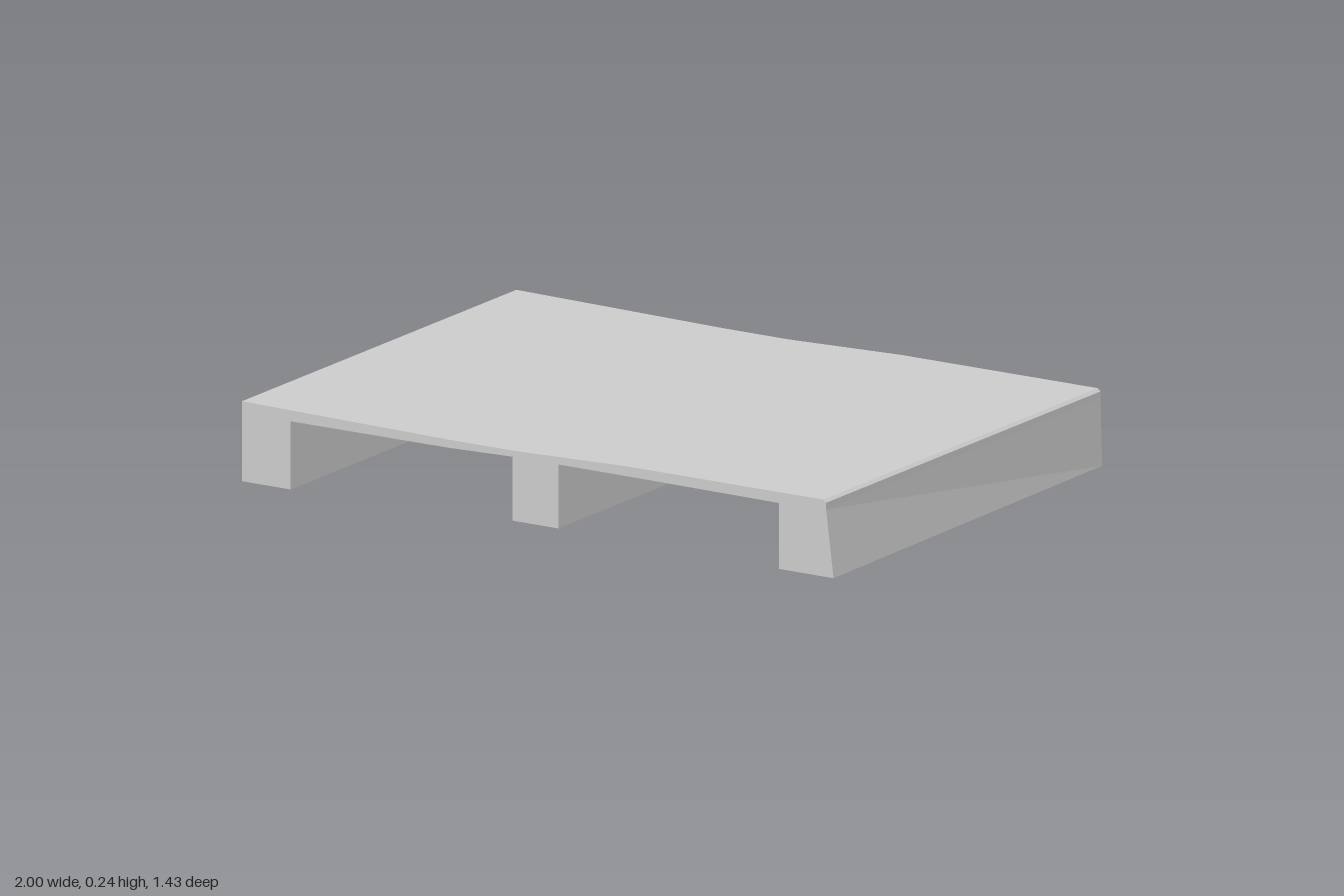
import * as THREE from 'three';

const material = new THREE.MeshStandardMaterial({ color: 0xcccccc, flatShading: true });
const HALF = 0.715; // half of the depth along z

function rectangle(PathType, x0, x1, y0, y1) {
  const p = new PathType();
  p.moveTo(x0, y0);
  p.lineTo(x1, y0);
  p.lineTo(x1, y1);
  p.lineTo(x0, y1);
  p.closePath();
  return p;
}

// Hollow runner, open below, with solid blocks at both ends and the middle
function makeRunner({ name, x0, x1, bottom, top, flare = 0 }) {
  const wall = 0.02, endBlock = 0.1, midBlock = 0.05;
  const plan = rectangle(THREE.Shape, x0, x1, -HALF, HALF);
  plan.holes.push(
    rectangle(THREE.Path, x0 + wall, x1 - wall, -HALF + endBlock, -midBlock),
    rectangle(THREE.Path, x0 + wall, x1 - wall, midBlock, HALF - endBlock)
  );
  const height = top - bottom;
  const geometry = new THREE.ExtrudeGeometry(plan, { depth: height, bevelEnabled: false });
  geometry.rotateX(-Math.PI / 2);

  // Lean the outer face outwards at the foot, more so towards the front
  const pos = geometry.attributes.position;
  for (let i = 0; i < pos.count; i++) {
    if (pos.getX(i) < x1 - 0.001) continue;
    const low = 1 - pos.getY(i) / height;
    const front = (pos.getZ(i) + HALF) / (2 * HALF);
    pos.setX(i, pos.getX(i) + flare * low * (0.2 + 0.8 * front));
  }
  geometry.translate(0, bottom, 0);
  geometry.computeVertexNormals();

  const mesh = new THREE.Mesh(geometry, material);
  mesh.name = name;
  return mesh;
}

// Thin deck, sagging slightly near the middle
function makeDeck() {
  const profile = new THREE.Shape([
    [-1, 0.2], [-0.3, 0.202], [-0.08, 0.208], [0.3, 0.208], [0.975, 0.205],
    [0.975, 0.23], [0.965, 0.238], [0.3, 0.237], [-0.08, 0.226], [-0.3, 0.226], [-1, 0.235],
  ].map(([x, y]) => new THREE.Vector2(x, y)));
  const geometry = new THREE.ExtrudeGeometry(profile, { depth: 2 * HALF, bevelEnabled: false });
  geometry.translate(0, 0, -HALF);
  const mesh = new THREE.Mesh(geometry, material);
  mesh.name = 'deck';
  return mesh;
}

export function createModel() {
  const model = new THREE.Group();
  model.name = 'pallet';
  model.add(makeDeck());
  const runners = [
    { name: 'rightRunner', x0: -1, x1: -0.835, bottom: 0, top: 0.21 },
    { name: 'middleRunner', x0: -0.085, x1: 0.07, bottom: 0.02, top: 0.212 },
    { name: 'leftRunner', x0: 0.815, x1: 0.975, bottom: 0.012, top: 0.21, flare: 0.025 },
  ];
  for (const runner of runners) model.add(makeRunner(runner));
  return model;
}
